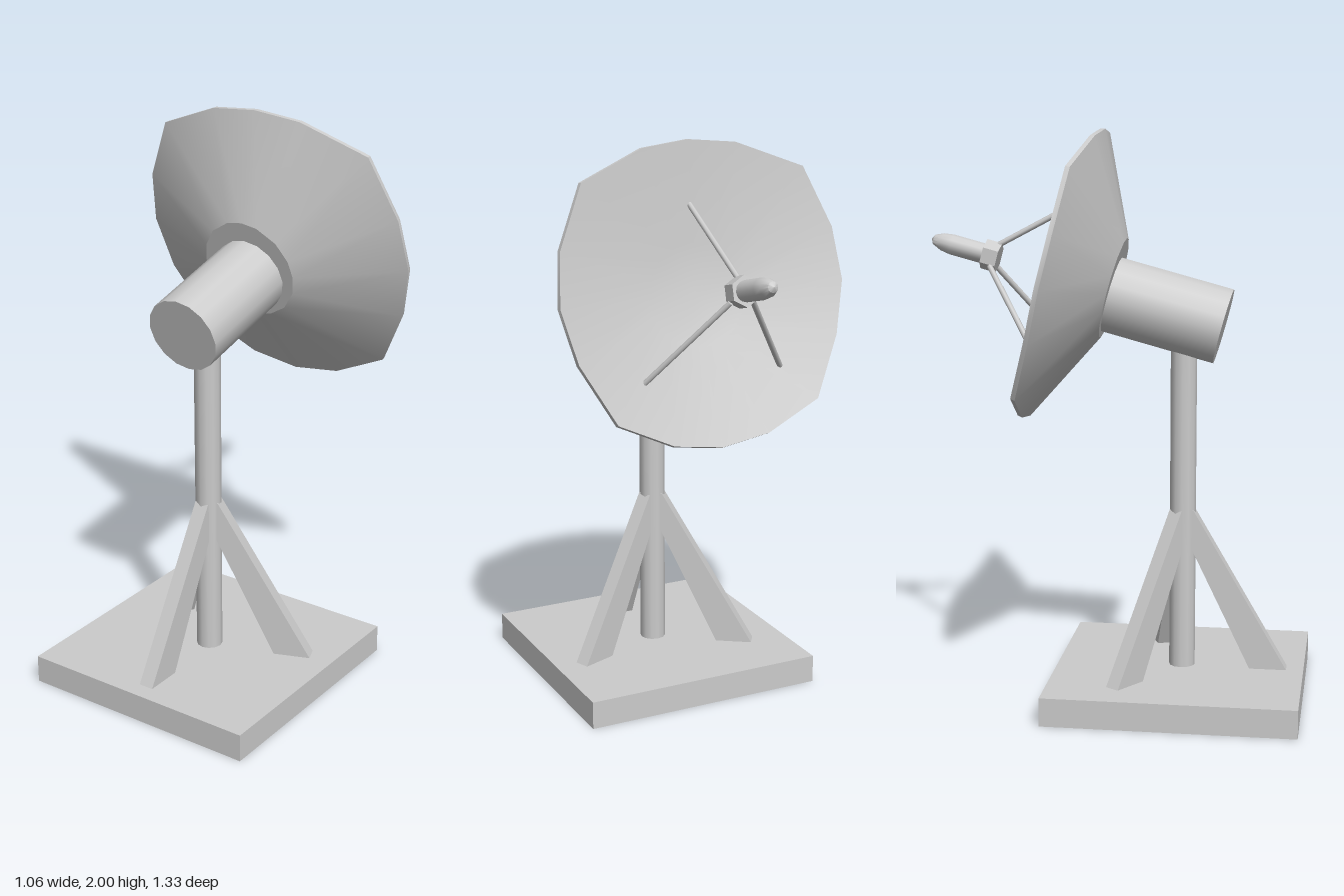
import * as THREE from 'three';
import { toCreasedNormals } from 'three/addons/utils/BufferGeometryUtils.js';

const material = new THREE.MeshStandardMaterial({ color: 0xcccccc });
const UP = new THREE.Vector3(0, 1, 0);

function add(parent, name, geometry, x = 0, y = 0, z = 0) {
  const mesh = new THREE.Mesh(geometry, material);
  mesh.name = name;
  mesh.position.set(x, y, z);
  parent.add(mesh);
  return mesh;
}

// Round bar between two points
function addBar(parent, name, from, to, radius) {
  const a = new THREE.Vector3(...from), b = new THREE.Vector3(...to);
  const dir = b.clone().sub(a);
  const bar = add(parent, name, new THREE.CylinderGeometry(radius, radius, dir.length(), 8));
  bar.position.copy(a).add(b).multiplyScalar(0.5);
  bar.quaternion.setFromUnitVectors(UP, dir.normalize());
  return bar;
}

// Slightly squared 16-sided shell: conical back, thin lip, shallow inside
function dishGeometry() {
  const half = [[0, 0.52], [19.3, 0.53], [46, 0.576], [70, 0.543], [90, 0.531],
    [111, 0.522], [136.5, 0.55], [160, 0.525], [180, 0.52]];
  const rim = [...half, ...half.slice(1, -1).reverse().map(([t, r]) => [360 - t, r])];
  const n = rim.length;
  const lipZ = r => -0.4 * (r - 0.525);
  const rings = [
    () => [0, 0.18],
    () => [0.18, 0.18],
    r => [r, lipZ(r) + 0.008],
    r => [r - 0.003, lipZ(r) - 0.008],
    () => [0.18, 0.06],
    () => [0, 0.075],
  ];
  const positions = [], index = [];
  for (const ring of rings) {
    for (const [deg, rimRadius] of rim) {
      const [r, z] = ring(rimRadius);
      const t = THREE.MathUtils.degToRad(deg);
      positions.push(r * Math.sin(t), r * Math.cos(t), z);
    }
  }
  for (let i = 0; i < rings.length - 1; i++) {
    for (let j = 0; j < n; j++) {
      const a = i * n + j, b = i * n + (j + 1) % n, c = a + n, d = b + n;
      if (i > 0) index.push(a, b, c);
      if (i < rings.length - 2) index.push(b, d, c);
      else continue;
    }
  }
  const geometry = new THREE.BufferGeometry();
  geometry.setAttribute('position', new THREE.Float32BufferAttribute(positions, 3));
  geometry.setIndex(index);
  return toCreasedNormals(geometry, 0.45);
}

export function createModel() {
  const model = new THREE.Group();
  model.name = 'dishAntenna';
  const poleZ = 0.23;

  // Stand
  add(model, 'basePlate', new THREE.BoxGeometry(0.88, 0.1, 0.876), 0, 0.05, 0.227);
  add(model, 'pole', new THREE.CylinderGeometry(0.046, 0.046, 1.2, 12), 0, 0.7, poleZ);

  // Three slanted braces around the pole
  const profile = new THREE.Shape([[0.02, 0.67], [0.02, 0.56], [0.243, 0.1], [0.374, 0.1], [0.04, 0.67]]
    .map(p => new THREE.Vector2(...p)));
  const braceGeometry = new THREE.ExtrudeGeometry(profile, { depth: 0.054, bevelEnabled: false });
  braceGeometry.translate(0, 0, -0.027);
  [['frontBrace', -90], ['leftBrace', 21], ['rightBrace', 146]].forEach(([name, deg]) => {
    add(model, name, braceGeometry, 0, 0, poleZ).rotation.y = THREE.MathUtils.degToRad(deg);
  });

  // Tilted head, dish opening towards its local -z
  const head = new THREE.Group();
  head.name = 'head';
  head.position.set(0, 1.495, -0.19);
  head.rotation.x = THREE.MathUtils.degToRad(15);
  model.add(head);

  const housing = new THREE.CylinderGeometry(0.134, 0.134, 0.42, 16).rotateX(Math.PI / 2);
  add(head, 'housing', housing, 0, -0.024, 0.373);
  add(head, 'dish', dishGeometry());

  // Feed: hexagonal collar with a rounded probe
  const hub = new THREE.CylinderGeometry(0.053, 0.053, 0.055, 6).rotateX(-Math.PI / 2);
  add(head, 'feedCollar', toCreasedNormals(hub, 0.3), 0, -0.009, -0.265);
  const probeProfile = [[0, 0.25], [0.036, 0.25], [0.036, 0.41], [0.031, 0.445], [0.018, 0.475], [0, 0.485]]
    .map(p => new THREE.Vector2(...p));
  const probe = new THREE.LatheGeometry(probeProfile, 12).rotateX(-Math.PI / 2);
  add(head, 'feedProbe', toCreasedNormals(probe, 0.7), 0, -0.009, 0);

  // Struts from collar to dish
  addBar(head, 'upperStrut', [0, 0.03, -0.255], [0, 0.31, 0.045], 0.01);
  addBar(head, 'leftStrut', [0.04, -0.04, -0.255], [0.25, -0.275, 0.03], 0.01);
  addBar(head, 'rightStrut', [-0.04, -0.04, -0.255], [-0.27, -0.275, 0.03], 0.01);

  return model;
}
